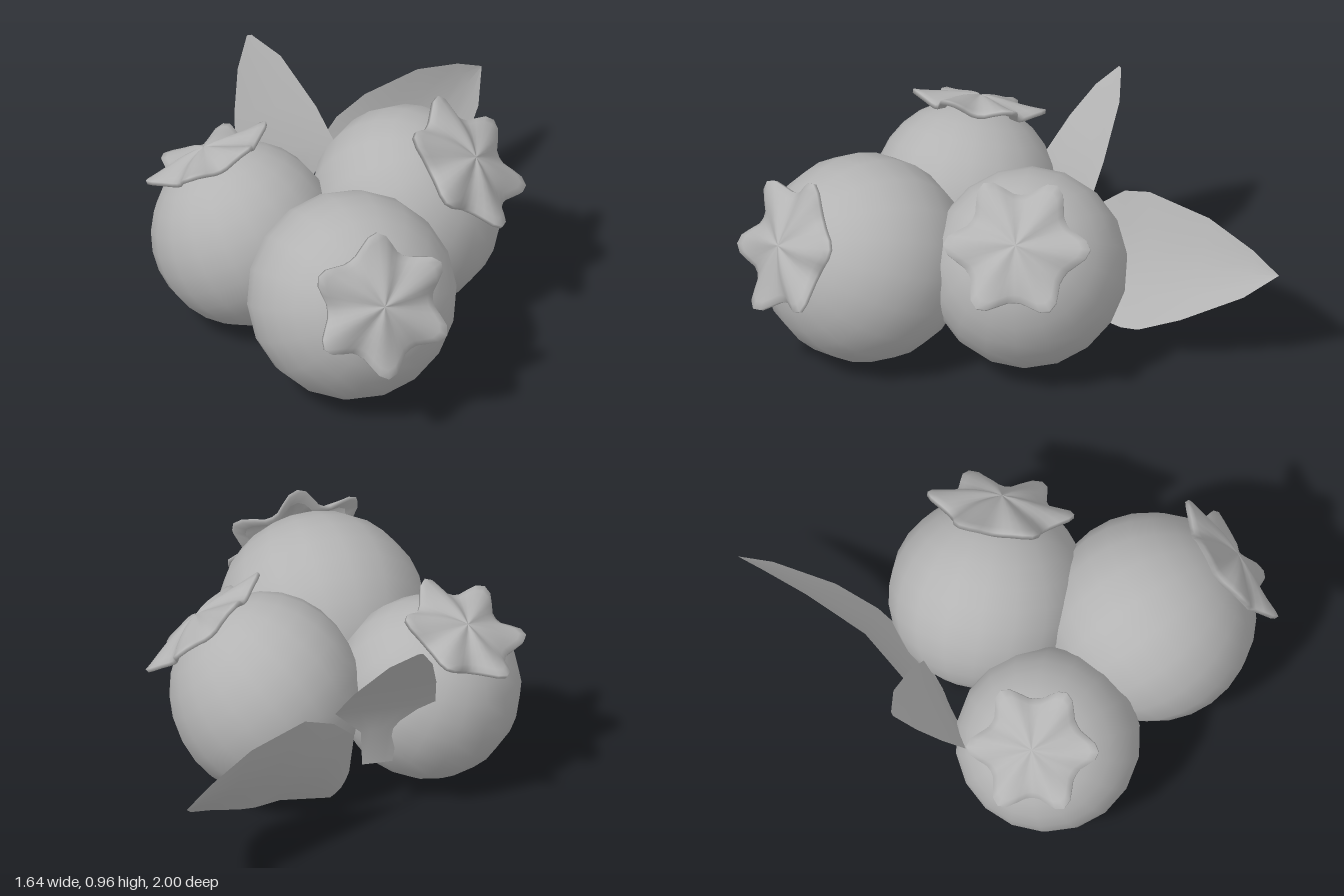
import * as THREE from 'three';

const grey = new THREE.MeshStandardMaterial({ color: 0xb4b4b4, side: THREE.DoubleSide });
grey.name = 'plain grey';

// Skin a grid of equally long point rows
function skin(rows, closed) {
  const n = rows[0].length, pos = [], index = [];
  rows.forEach(row => row.forEach(p => pos.push(p.x, p.y, p.z)));
  for (let i = 0; i < rows.length - 1; i++) {
    for (let j = 0; j < (closed ? n : n - 1); j++) {
      const a = i * n + j, b = i * n + (j + 1) % n;
      index.push(a, a + n, b, b, a + n, b + n);
    }
  }
  const g = new THREE.BufferGeometry();
  g.setAttribute('position', new THREE.Float32BufferAttribute(pos, 3));
  g.setIndex(index);
  g.computeVertexNormals();
  return g;
}

function mesh(geometry, name) {
  const m = new THREE.Mesh(geometry, grey);
  m.name = name;
  return m;
}

// Six-pointed calyx: hugs the berry between its points, which curl outward
function crownGeometry(r, size) {
  const rings = [[0.01, 0], [0.2, 0], [0.4, 0], [0.6, 0], [0.75, 0], [0.88, 0], [1, 0], [1, -0.018], [0.8, -0.03]];
  const rows = rings.map(([t, lift]) => {
    const row = [];
    for (let j = 0; j < 48; j++) {
      const a = j / 48 * Math.PI * 2;
      const point = Math.pow((1 + Math.cos(6 * a)) / 2, 1.4);
      const rho = t * size * (0.74 + 0.26 * point);
      const drop = r - Math.sqrt(r * r - rho * rho);
      const curl = 0.025 + 0.1 * point * Math.pow(t, 3);
      const ripple = 0.008 * Math.cos(6 * a + 1) * Math.sin(Math.PI * t);
      row.push(new THREE.Vector3(rho * Math.sin(a), curl + ripple + lift - drop, rho * Math.cos(a)));
    }
    return row;
  });
  return skin(rows, true);
}

// Berry with its crown; the group's y axis is the crown direction, z aims at one point
function berry(name, centre, r, scale, axis, tip, size) {
  const g = new THREE.Group();
  g.name = name;
  const c = new THREE.Vector3(...centre);
  const y = new THREE.Vector3(...axis).normalize();
  const pole = c.clone().addScaledVector(y, r);
  const z = new THREE.Vector3(...tip).sub(pole);
  z.addScaledVector(y, -z.dot(y)).normalize();
  const x = new THREE.Vector3().crossVectors(y, z);
  const turn = new THREE.Quaternion().setFromRotationMatrix(new THREE.Matrix4().makeBasis(x, y, z));

  const ball = new THREE.SphereGeometry(r, 18, 14);
  ball.applyQuaternion(turn);
  ball.scale(...scale);
  const body = mesh(ball, 'berryBody');
  body.position.copy(c);
  const crown = mesh(crownGeometry(r, size), 'berryCrown');
  crown.position.copy(pole);
  crown.quaternion.copy(turn);
  g.add(body, crown);
  return g;
}

// Leaf from pairs of edge points, sagging along its midrib
function leaf(name, edges, sag) {
  const s = new THREE.Vector3(...sag);
  const rows = edges.map(e => {
    const a = new THREE.Vector3(e[0], e[1], e[2]), b = new THREE.Vector3(e[3], e[4], e[5]);
    const width = Math.min(1, a.distanceTo(b) / 0.45);
    return [0, 0.25, 0.5, 0.75, 1].map(t =>
      a.clone().lerp(b, t).addScaledVector(s, width * Math.sin(Math.PI * t)));
  });
  return mesh(skin(rows, false), name);
}

export function createModel() {
  const model = new THREE.Group();
  model.name = 'berryCluster';

  model.add(
    berry('frontBerry', [-0.115, 0.45, 0.47], 0.44, [1, 1, 1], [0.08, 0.43, 0.9], [-0.07, 0.93, 0.73], 0.31),
    berry('rightBerry', [-0.425, 0.42, -0.14], 0.388, [1, 1, 1], [-0.33, 0.88, -0.33], [-0.83, 0.64, -0.23], 0.28),
    berry('leftBerry', [0.265, 0.465, -0.105], 0.42, [0.96, 1.02, 1], [0.57, 0.7, 0.4], [0.43, 0.93, -0.14], 0.31));

  // Long leaf sweeping back and to the left
  model.add(leaf('longLeaf', [
    [0.0, 0.27, -0.49, 0.06, 0.10, -0.40],
    [0.0, 0.50, -0.58, 0.28, 0.13, -0.42],
    [0.10, 0.60, -0.63, 0.40, 0.14, -0.47],
    [0.235, 0.66, -0.68, 0.48, 0.165, -0.51],
    [0.50, 0.645, -0.83, 0.62, 0.26, -0.64],
    [0.70, 0.57, -0.94, 0.77, 0.40, -0.86],
    [0.82, 0.50, -1.0, 0.82, 0.50, -1.0]], [-0.01, -0.015, -0.025]));

  // Short upright leaf on a narrow stalk
  model.add(leaf('shortLeaf', [
    [-0.20, 0.26, -0.43, -0.07, 0.26, -0.43],
    [-0.22, 0.43, -0.45, -0.06, 0.43, -0.45],
    [-0.37, 0.56, -0.49, 0.06, 0.56, -0.49],
    [-0.35, 0.72, -0.59, 0.0, 0.70, -0.58],
    [-0.31, 0.87, -0.69, -0.12, 0.89, -0.71],
    [-0.25, 0.975, -0.77, -0.23, 0.975, -0.77]], [0, 0.005, -0.012]));

  return model;
}
